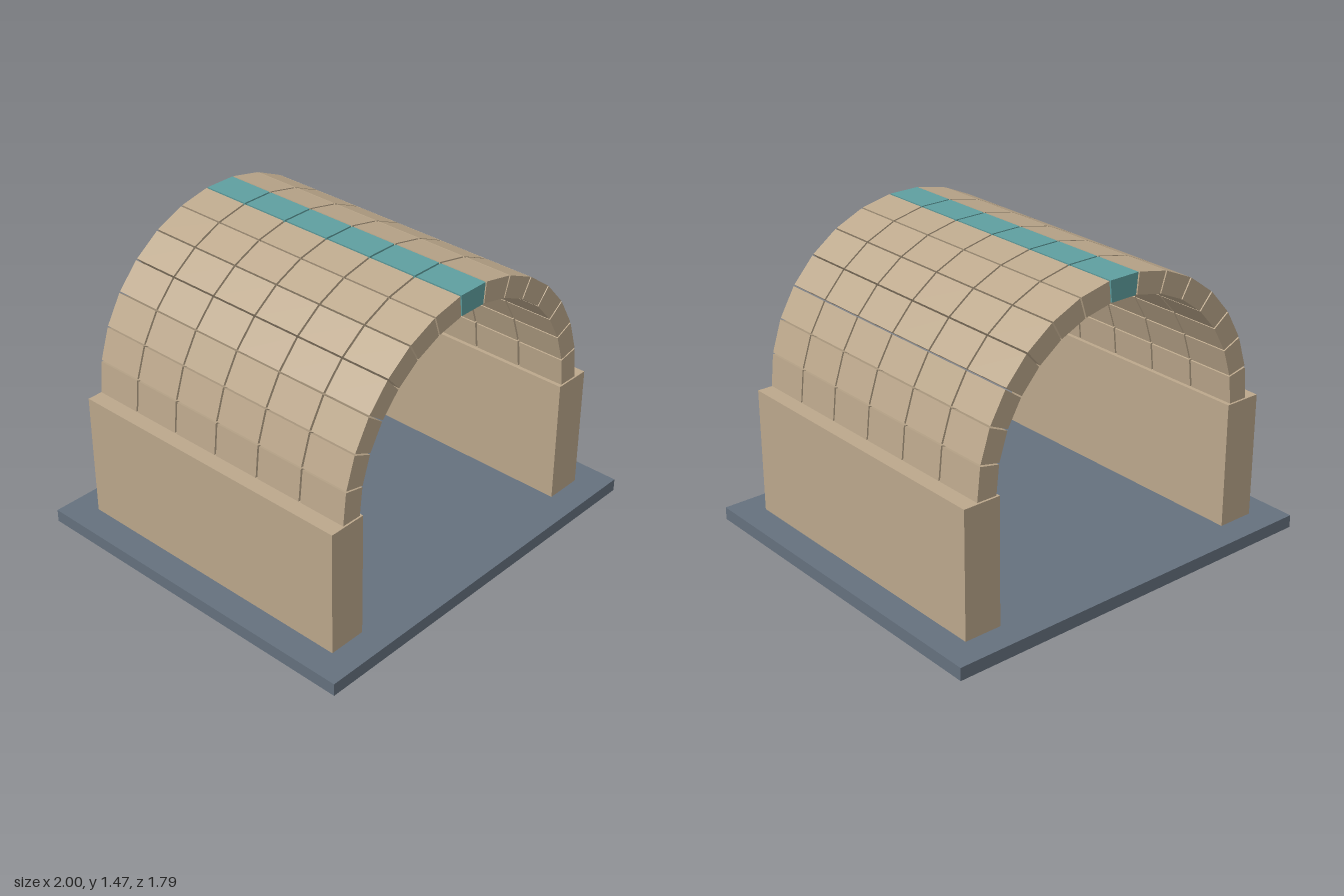
import * as THREE from 'three';

const mat = (name, color) => {
  const m = new THREE.MeshStandardMaterial({ color });
  m.name = name;
  return m;
};

export function createModel() {
  const stone = mat('sandstone', 0xbca88c);
  const teal = mat('keystone teal', 0x5f9fa0);
  const slate = mat('slate', 0x65717e);
  const model = new THREE.Group();
  model.name = 'barrelVault';

  const box = (name, material, w, h, d, x, y) => {
    const mesh = new THREE.Mesh(new THREE.BoxGeometry(w, h, d), material);
    mesh.name = name;
    mesh.position.set(x, y + h / 2, 0);
    model.add(mesh);
  };

  // Ground slab and the two supporting walls
  const slabTop = 0.063, spring = 0.684;
  box('baseSlab', slate, 2, slabTop, 1.79, 0, 0);
  box('leftWall', stone, 0.188, spring - slabTop, 1.515, 0.769, slabTop);
  box('rightWall', stone, 0.188, spring - slabTop, 1.515, -0.769, slabTop);

  // One wedge-shaped block, centred on the crown of the arch
  const blocks = 15, rings = 6, pitch = 0.2525, gap = 0.01;
  const inner = 0.69, outer = 0.791;
  const step = Math.PI / blocks;
  const half = step / 2 - 0.005;
  const s = Math.sin(half), c = Math.cos(half);
  const wedge = new THREE.Shape([
    new THREE.Vector2(-inner * s, inner * c),
    new THREE.Vector2(inner * s, inner * c),
    new THREE.Vector2(outer * s, outer * c),
    new THREE.Vector2(-outer * s, outer * c),
  ]);
  const depth = pitch - gap;
  const wedgeGeometry = new THREE.ExtrudeGeometry(wedge, { depth, bevelEnabled: false });
  wedgeGeometry.translate(0, 0, -depth / 2);

  // Repeat the block around the half circle and along the vault
  const middle = (blocks - 1) / 2;
  for (let r = 0; r < rings; r++) {
    const ring = new THREE.Group();
    ring.name = `archRing${r + 1}`;
    ring.position.set(0, spring, (r - (rings - 1) / 2) * pitch);
    for (let i = 0; i < blocks; i++) {
      const key = i === middle;
      const block = new THREE.Mesh(wedgeGeometry, key ? teal : stone);
      block.name = key ? 'keystone' : `archBlock${i + 1}`;
      block.rotation.z = (i - middle) * step;
      ring.add(block);
    }
    model.add(ring);
  }
  return model;
}
